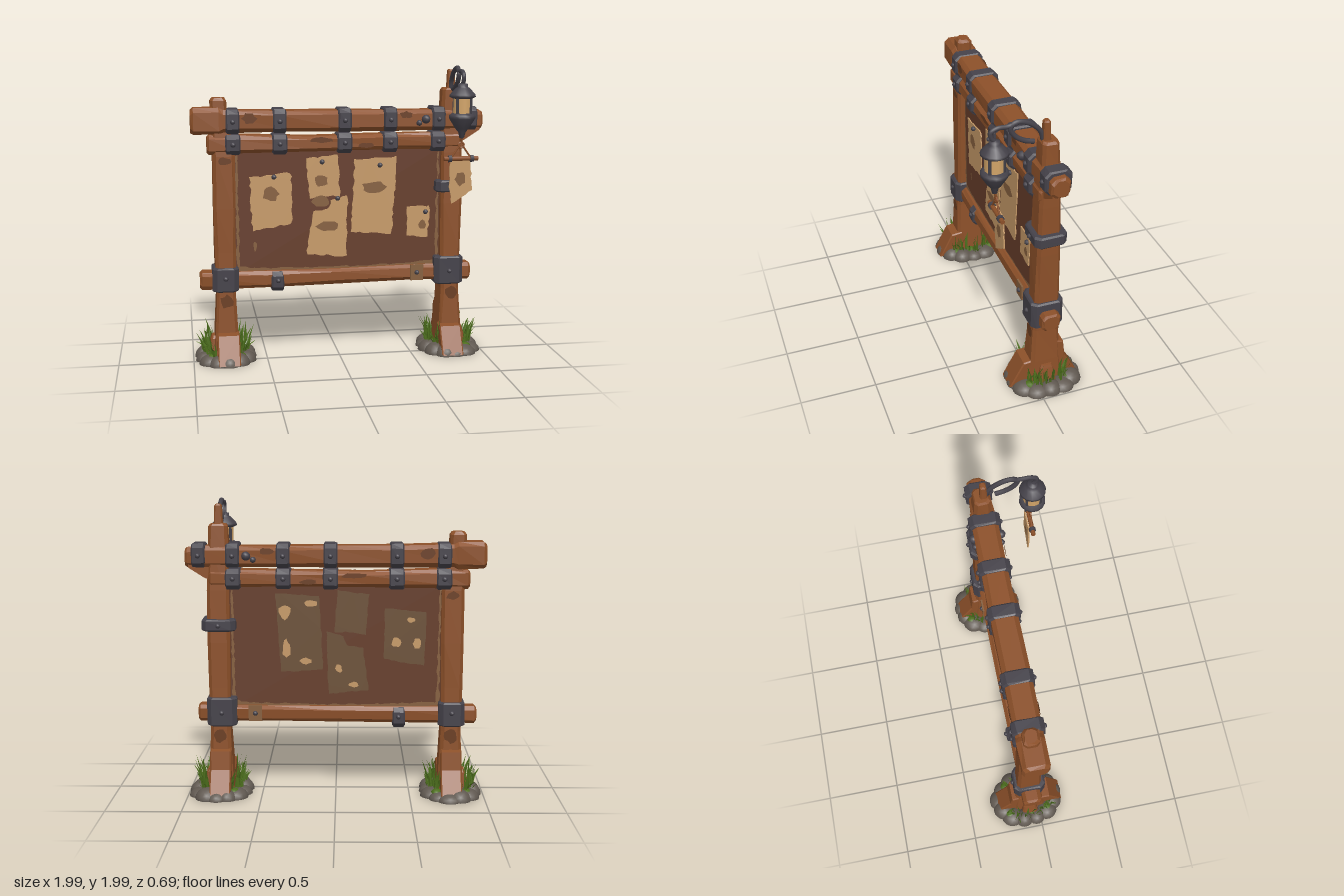
import * as THREE from 'three';

const mat = (name, color, side = THREE.FrontSide) => {
  const m = new THREE.MeshStandardMaterial({ color, side });
  m.name = name;
  return m;
};

export function createModel() {
  const wood = mat('wood', 0x8c5029), darkWood = mat('dark wood', 0x6b3e22, THREE.DoubleSide);
  const boardMat = mat('board', 0x663d2a), iron = mat('iron', 0x45424a);
  const parchment = mat('parchment', 0xc69a68, THREE.DoubleSide), stain = mat('stain', 0x86603f, THREE.DoubleSide);
  const faded = mat('faded paper', 0x6c5138, THREE.DoubleSide), stone = mat('stone', 0x615951);
  const grassMat = mat('grass', 0x4c6e1c, THREE.DoubleSide), glass = mat('lantern glass', 0xd2a468);
  const root = new THREE.Group(), ZC = -0.07;
  let seed = 7;
  const rnd = (a = 0, b = 1) => {
    seed = (seed * 16807) % 2147483647;
    return a + (b - a) * seed / 2147483647;
  };
  const add = (name, geo, material, x = 0, y = 0, z = 0, parent = root) => {
    const m = new THREE.Mesh(geo, material);
    m.name = name;
    m.position.set(x, y, z);
    parent.add(m);
    return m;
  };

  // Chamfered bar lofted along 'x' or 'y'; stations are [position, halfAcross, halfDepthZ, across, z]
  function loft(axis, stations, chamfer = 0.025, wobble = 0) {
    const rings = stations.map(([w, a, b, ca, cz = ZC]) => {
      const c = Math.min(chamfer, a * 0.6, b * 0.6);
      return [[a, -b + c], [a, b - c], [a - c, b], [-a + c, b], [-a, b - c], [-a, -b + c], [-a + c, -b], [a - c, -b]]
        .map(([p, q]) => {
          p += ca + rnd(-wobble, wobble);
          q += cz + rnd(-wobble, wobble);
          return axis === 'x' ? [w, p, q] : [p, w, q];
        });
    });
    const out = [];
    const tri = (a, b, c) => axis === 'x' ? out.push(...a, ...b, ...c) : out.push(...a, ...c, ...b);
    for (let j = 0; j + 1 < rings.length; j++) for (let i = 0; i < 8; i++) {
      const k = (i + 1) % 8, A = rings[j], B = rings[j + 1];
      tri(A[i], A[k], B[k]);
      tri(A[i], B[k], B[i]);
    }
    const S = rings[0], E = rings[rings.length - 1];
    for (let i = 1; i < 7; i++) {
      tri(S[0], S[i + 1], S[i]);
      tri(E[0], E[i], E[i + 1]);
    }
    const g = new THREE.BufferGeometry();
    g.setAttribute('position', new THREE.Float32BufferAttribute(out, 3));
    g.computeVertexNormals();
    return g;
  }
  // Bevelled iron band around a bar
  const band = (name, axis, lo, hi, a, b, ca) => add(name, loft(axis, [
    [lo, a - 0.01, b - 0.01, ca], [lo + 0.01, a, b, ca], [hi - 0.01, a, b, ca], [hi, a - 0.01, b - 0.01, ca]], 0.03, 0.002), iron);
  const bolt = (x, y, z, r = 0.017, m = iron) => add('bolt', new THREE.SphereGeometry(r, 8, 6), m, x, y, z);
  const flatShape = pts => new THREE.Shape(pts.map(p => new THREE.Vector2(...p)));
  // Irregular flat patch
  function blob(name, x, y, z, rx, ry, m) {
    const pts = [];
    for (let i = 0; i < 12; i++) {
      const r = rnd(0.72, 1.1), t = i * Math.PI / 6;
      pts.push([rx * r * Math.cos(t), ry * r * Math.sin(t)]);
    }
    return add(name, new THREE.ShapeGeometry(flatShape(pts)), m, x, y, z);
  }
  // Outline with torn edges
  function torn(corners, rough) {
    const pts = [];
    corners.forEach(([x, y], i) => {
      const [u, v] = corners[(i + 1) % corners.length];
      const n = Math.max(2, Math.round(Math.hypot(u - x, v - y) / 0.028));
      for (let k = 0; k < n; k++) pts.push([x + (u - x) * k / n + rnd(-rough, rough), y + (v - y) * k / n + rnd(-rough, rough)]);
    });
    return flatShape(pts);
  }

  // Posts
  const legs = c => [[0.01, 0.09, 0.12, c], [0.2, 0.078, 0.1, c], [0.45, 0.064, 0.087, c], [0.75, 0.07, 0.08, c],
    [1.05, 0.074, 0.077, c], [1.4, 0.073, 0.071, c]];
  add('leftPost', loft('y', [...legs(0.775), [1.68, 0.066, 0.058, 0.77], [1.82, 0.06, 0.052, 0.77], [1.835, 0.05, 0.042, 0.77]], 0.02, 0.003), wood);
  add('leftPostPeg', loft('y', [[1.82, 0.028, 0.024, 0.77, -0.055], [1.95, 0.024, 0.02, 0.77, -0.055], [1.96, 0.016, 0.014, 0.77, -0.055]], 0.008), wood);
  add('rightPost', loft('y', [...legs(-0.772), [1.7, 0.055, 0.05, -0.8], [1.765, 0.054, 0.048, -0.8], [1.785, 0.042, 0.036, -0.8]], 0.02, 0.003), wood);

  // Beams
  add('topBeam', loft('x', [[-0.985, 0.07, 0.07, 1.63], [-0.965, 0.087, 0.086, 1.63], [-0.8, 0.087, 0.088, 1.632], [-0.77, 0.075, 0.086, 1.632],
    [-0.4, 0.07, 0.085, 1.625], [0, 0.071, 0.086, 1.627], [0.35, 0.068, 0.085, 1.622], [0.65, 0.07, 0.083, 1.622], [0.85, 0.07, 0.07, 1.62],
    [0.975, 0.065, 0.06, 1.615], [0.99, 0.053, 0.048, 1.615]], 0.028, 0.004), wood);
  add('lowerTopBeam', loft('x', [[-0.88, 0.05, 0.06, 1.475], [-0.865, 0.064, 0.075, 1.475], [-0.7, 0.06, 0.077, 1.477], [-0.2, 0.052, 0.075, 1.472],
    [0.3, 0.053, 0.075, 1.478], [0.82, 0.057, 0.075, 1.48], [0.835, 0.045, 0.06, 1.48]], 0.024, 0.004), wood);
  add('bottomBeam', loft('x', [[-0.945, 0.046, 0.05, 0.555], [-0.93, 0.058, 0.063, 0.555], [-0.5, 0.055, 0.066, 0.555], [0, 0.053, 0.067, 0.56],
    [0.5, 0.055, 0.066, 0.565], [0.91, 0.06, 0.062, 0.565], [0.925, 0.048, 0.05, 0.565]], 0.024, 0.004), wood);
  const corbel = new THREE.ExtrudeGeometry(flatShape([[0.8, 1.46], [0.86, 1.48], [0.97, 1.55], [0.97, 1.58], [0.8, 1.58]]), { depth: 0.1, bevelEnabled: false });
  add('corbel', corbel, wood, 0, 0, ZC - 0.05);

  // Board with worn edges
  add('board', new THREE.BoxGeometry(1.44, 0.86, 0.05), boardMat, 0, 1.01, ZC);
  const strip = (c, z) => add('wornEdge', new THREE.ShapeGeometry(torn(c, 0.006)), stain, 0, 0, z);
  for (const z of [ZC + 0.028, ZC - 0.028]) {
    strip([[-0.69, 0.6], [0.69, 0.6], [0.69, 0.65], [0.5, 0.63], [0, 0.622], [-0.5, 0.63], [-0.69, 0.645]], z);
    for (const s of [-1, 1]) strip([[s * 0.695, 0.62], [s * 0.675, 0.62], [s * 0.682, 1.4], [s * 0.695, 1.4]], z);
  }
  blob('scuff', -0.57, 0.78, ZC + 0.028, 0.012, 0.035, stain);

  // Notices pinned to the front, with their faded marks on the back
  const notices = [
    [[-0.6, 1.25], [-0.325, 1.28], [-0.32, 0.935], [-0.59, 0.89]],
    [[-0.22, 1.37], [-0.01, 1.4], [0.01, 1.11], [-0.06, 1.12], [-0.2, 1.1]],
    [[-0.18, 1.01], [-0.07, 1.03], [-0.05, 1.09], [0.06, 1.12], [0.05, 0.695], [-0.22, 0.72]],
    [[0.11, 1.36], [0.4, 1.375], [0.365, 0.845], [0.085, 0.86]],
    [[0.475, 1.03], [0.63, 1.03], [0.62, 0.81], [0.465, 0.825]]];
  notices.forEach((c, i) => {
    add('notice', new THREE.ExtrudeGeometry(torn(c, 0.007), { depth: 0.008, bevelEnabled: false }), parchment, 0, 0, ZC + 0.03 + i * 0.002);
    if (i < 4) add('fadedMark', new THREE.ShapeGeometry(torn(c, 0.004)), faded, 0, 0, ZC - 0.03);
  });
  for (const [x, y, rx, ry] of [[-0.46, 1.14, 0.06, 0.05], [-0.12, 1.22, 0.05, 0.045], [-0.07, 0.91, 0.085, 0.04], [0.24, 1.17, 0.09, 0.045], [0.58, 0.9, 0.03, 0.035], [-0.12, 1.08, 0.07, 0.04]])
    blob('noticeStain', x, y, ZC + 0.05, rx, ry, stain);
  for (const [x, y, rx, ry] of [[0.34, 1.25, 0.045, 0.05], [0.17, 1.31, 0.05, 0.025], [0.33, 1.0, 0.03, 0.07], [0.2, 0.92, 0.05, 0.025],
    [-0.02, 0.87, 0.025, 0.03], [-0.12, 0.76, 0.04, 0.02], [-0.4, 1.05, 0.035, 0.035], [-0.54, 1.04, 0.03, 0.04], [-0.5, 1.2, 0.03, 0.02]])
    blob('pasteResidue', x, y, ZC - 0.033, rx, ry, parchment);
  for (const [x, y] of [[-0.44, 1.255], [-0.115, 1.35], [-0.01, 1.1], [0.28, 1.32], [0.6, 0.99]]) bolt(x, y, ZC + 0.052);

  // Iron bands on the beams and posts
  for (const x of [-0.71, -0.4, 0.035, 0.345, 0.675, 0.9]) {
    const k = x > 0.8 ? 0.085 : 0.102;
    band('topBand', 'x', x - 0.045, x + 0.045, 0.079, k, 1.63);
    for (const s of [-1, 1]) bolt(x, 1.63, ZC + s * k);
    if (x > 0.8) continue;
    band('lowerBand', 'x', x - 0.05, x + 0.05, 0.067, 0.097, 1.476);
    for (const s of [-1, 1]) bolt(x, 1.48, ZC + s * 0.097);
  }
  band('bottomBand', 'x', -0.465, -0.38, 0.068, 0.083, 0.54);
  band('rightClamp', 'y', 0.485, 0.65, 0.088, 0.106, -0.775);
  band('leftClamp', 'y', 0.485, 0.68, 0.1, 0.108, 0.762);
  band('postBand', 'y', 1.13, 1.21, 0.112, 0.106, 0.775);
  for (const s of [-1, 1]) {
    for (const [x, y, d] of [[-0.42, 0.55, 0.083], [-0.775, 0.58, 0.106], [0.762, 0.58, 0.108], [0.775, 1.17, 0.106], [0.54, 0.57, 0.075]]) bolt(x, y, ZC + s * d);
    add('repairPlate', new THREE.BoxGeometry(0.09, 0.11, 0.012), stain, 0.54, 0.57, ZC + s * 0.069);
    bolt(0.585, 1.63, ZC + s * 0.09, 0.03);
    bolt(0.54, 1.605, ZC + s * 0.087, 0.02);
    // Worn patches in the timber
    for (const [x, y, d, rx, ry] of [[-0.6, 1.65, 0.091, 0.05, 0.04], [0.45, 1.66, 0.091, 0.05, 0.025], [-0.12, 1.5, 0.081, 0.09, 0.02],
      [0.18, 1.46, 0.081, 0.06, 0.018], [-0.77, 1.37, 0.076, 0.05, 0.03], [0.78, 0.42, 0.094, 0.045, 0.05], [-0.77, 0.42, 0.094, 0.045, 0.05]])
      blob('wornPatch', x, y, ZC + s * d, rx, ry, darkWood);
  }

  // Feet: wooden braces, stones and grass
  const brace = (x, pts, w) => {
    const g = new THREE.ExtrudeGeometry(flatShape(pts.map(([z, y]) => [-z, y])), { depth: w - 0.016, bevelSize: 0.008, bevelThickness: 0.008, bevelSegments: 1 });
    add('brace', g.rotateY(Math.PI / 2), wood, x - w / 2 + 0.008, 0, 0);
  };
  for (const s of [-1, 1]) {
    const cx = s * 0.775;
    brace(cx - s * 0.01, [[-0.07, 0.02], [0.165, 0.02], [0.075, 0.19], [0, 0.2]], 0.15);
    brace(cx, [[-0.07, 0.02], [-0.3, 0.02], [-0.2, 0.19], [-0.185, 0.31], [-0.12, 0.33]], 0.14);
    add('sideBrace', loft('y', [[0.01, 0.05, 0.06, cx + s * 0.09], [0.15, 0.025, 0.045, cx + s * 0.08], [0.17, 0.018, 0.035, cx + s * 0.08]], 0.012), wood);
    for (let i = 0; i < 13; i++) {
      const t = i / 13 * Math.PI * 2, r = rnd(0.065, 0.085);
      const g = new THREE.IcosahedronGeometry(1, 2).scale(r, rnd(0.05, 0.075), r);
      const p = g.attributes.position;
      for (let k = 0; k < p.count; k++) p.setY(k, Math.max(0, p.getY(k)));
      add('stone', g, stone, s * 0.78 + Math.cos(t) * 0.145, 0.003, -0.075 + Math.sin(t) * 0.19);
    }
    add('soil', new THREE.CylinderGeometry(0.15, 0.16, 0.03, 14).scale(1, 1, 1.3), darkWood, s * 0.78, 0.02, -0.075);
    // Bent blades in tufts on every side
    const v = [];
    for (let i = 0; i < 84; i++) {
      const t = [0.1, 0.75, 2.4, 3.04, 3.8, 5.6][i % 6] + rnd(-0.3, 0.3), q = rnd(0.8, 1.1);
      const x = s * 0.78 + Math.cos(t) * 0.14 * q, z = -0.075 + Math.sin(t) * 0.17 * q;
      const h = rnd(0.07, 0.21), a = rnd(0, Math.PI), w = rnd(0.005, 0.01), wx = Math.cos(a) * w, wz = Math.sin(a) * w;
      const lx = Math.cos(t) * rnd(0, 0.05) + rnd(-0.03, 0.03), lz = Math.sin(t) * rnd(0, 0.05) + rnd(-0.03, 0.03), mx = x + lx * 0.35, mz = z + lz * 0.35;
      const A = [x - wx, 0.03, z - wz], B = [x + wx, 0.03, z + wz], C = [mx + wx, 0.03 + h * 0.6, mz + wz], D = [mx - wx, 0.03 + h * 0.6, mz - wz];
      v.push(...A, ...B, ...C, ...A, ...C, ...D, ...D, ...C, x + lx, 0.03 + h, z + lz);
    }
    const g = new THREE.BufferGeometry();
    g.setAttribute('position', new THREE.Float32BufferAttribute(v, 3));
    g.computeVertexNormals();
    add('grass', g, grassMat);
    for (let i = 0; i < 6; i++) add('moss', new THREE.SphereGeometry(0.04, 8, 5), grassMat,
      s * 0.78 + (i % 2 ? 0.1 : -0.1), 0.04, -0.075 + [-0.14, 0.13, 0.02][i % 3]).scale.y = 0.7;
  }

  // Curled lantern hook
  const tube = (name, pts, r, m) => add(name, new THREE.TubeGeometry(
    new THREE.CatmullRomCurve3(pts.map(p => new THREE.Vector3(...p))), pts.length * 5, r, 7), m);
  const LX = 0.768, LZ = 0.26;
  tube('hook', [[-0.04, 1.82], [-0.02, 1.89], [0.05, 1.955], [0.13, 1.975], [0.165, 1.945], [0.14, 1.89], [0.085, 1.85], [0.02, 1.83]]
    .map(([z, y]) => [LX, y, z]), 0.016, iron);
  tube('hookArm', [[0.12, 1.972], [0.18, 1.957], [0.245, 1.957], [0.283, 1.935], [0.28, 1.9], [0.26, 1.875]].map(([z, y]) => [LX, y, z]), 0.014, iron);

  // Lantern
  const lathe = (name, pts, m) => add(name, new THREE.LatheGeometry(pts.map(p => new THREE.Vector2(...p)), 14), m, LX, 0, LZ);
  lathe('lanternBase', [[0, 1.52], [0.016, 1.53], [0.024, 1.565], [0.045, 1.59], [0.085, 1.655], [0.085, 1.675], [0.066, 1.69], [0, 1.69]], iron);
  lathe('lanternRoof', [[0, 1.785], [0.066, 1.785], [0.086, 1.795], [0.083, 1.81], [0.048, 1.85], [0.032, 1.86], [0.032, 1.878], [0, 1.888]], iron);
  add('lanternGlass', new THREE.CylinderGeometry(0.061, 0.061, 0.11, 12), glass, LX, 1.738, LZ);
  for (let i = 0; i < 4; i++) {
    const t = Math.PI / 4 + i * Math.PI / 2;
    add('lanternBar', new THREE.BoxGeometry(0.016, 0.11, 0.016), iron, LX + Math.cos(t) * 0.06, 1.738, LZ + Math.sin(t) * 0.06).rotation.y = -t;
  }

  // Hanging scroll
  const BZ = 0.25;
  tube('cord', [[LX, 1.53, LZ], [LX, 1.5, BZ], [LX, 1.47, BZ]], 0.008, wood);
  add('cordRing', new THREE.TorusGeometry(0.018, 0.007, 6, 12), wood, LX, 1.48, BZ);
  for (const s of [-1, 1]) {
    tube('scrollCord', [[LX, 1.49, BZ], [LX + s * 0.035, 1.44, BZ], [LX + s * 0.07, 1.39, BZ]], 0.006, wood);
    add('scrollCap', new THREE.CylinderGeometry(0.023, 0.023, 0.022, 8).rotateZ(Math.PI / 2), iron, LX + s * 0.074, 1.39, BZ);
  }
  add('scrollRod', new THREE.CylinderGeometry(0.015, 0.015, 0.23, 8).rotateZ(Math.PI / 2), wood, LX, 1.39, BZ);
  const sheet = torn([[0.7, 1.39], [0.84, 1.39], [0.85, 1.18], [0.79, 1.13], [0.71, 1.085], [0.7, 1.2]], 0.005);
  add('scrollSheet', new THREE.ExtrudeGeometry(sheet, { depth: 0.009, bevelEnabled: false }), parchment, 0, 0, 0.224);
  for (const z of [0.2225, 0.2345]) blob('scrollStain', 0.77, 1.25, z, 0.04, 0.05, stain);

  return root;
}
